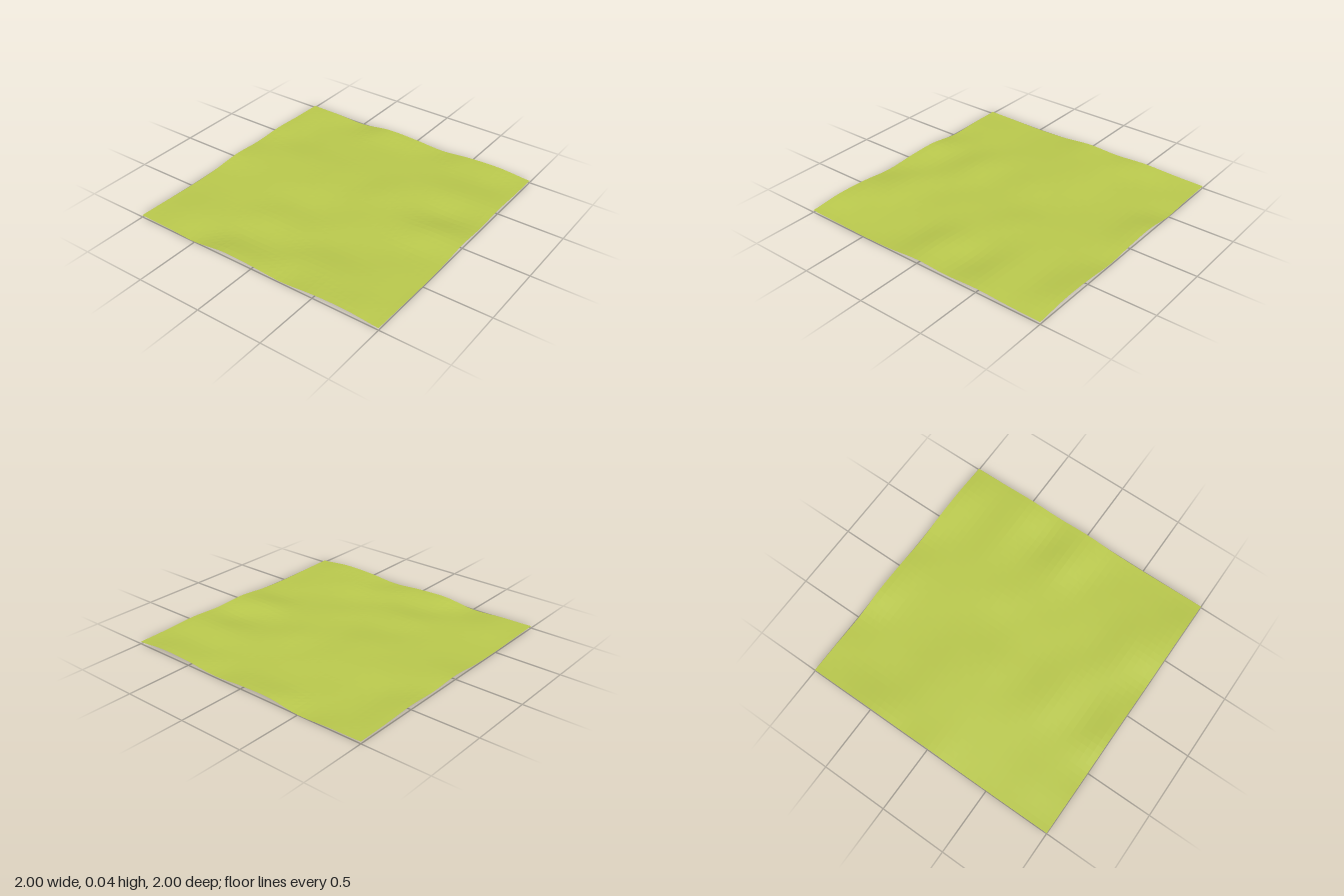
import * as THREE from 'three';

const SIZE = 2, SEGMENTS = 40, HEIGHT = 0.037;

// Coarse tileable relief: rows run from back to front, columns along x
const RELIEF = [
  [4, 3, 1, 7, 6, 3, 7, 8],
  [5, 2, 2, 3, 4, 4, 4, 5],
  [7, 3, 3, 3, 4, 5, 6, 7],
  [5, 6, 6, 5, 4, 6, 4, 2],
  [7, 6, 6, 6, 4, 4, 5, 8],
  [3, 4, 5, 4, 3, 4, 3, 2],
  [2, 3, 4, 6, 5, 3, 3, 3],
  [3, 4, 3, 2, 3, 6, 7, 5],
];

// Smooth curve through evenly spaced values that wraps round
function wrapCurve(at, t) {
  const i = Math.floor(t), f = t - i;
  const [a, b, c, d] = [-1, 0, 1, 2].map((k) => at((i + k + 8) % 8));
  return b + 0.5 * f * (c - a + f * (2 * a - 5 * b + 4 * c - d + f * (3 * (b - c) + d - a)));
}

function reliefAt(x, z) {
  const u = (x + 1) * 4, v = (z + 1) * 4;
  return wrapCurve((row) => wrapCurve((col) => RELIEF[row][col], u), v);
}

export function createModel() {
  const group = new THREE.Group();
  group.name = 'terrainTile';

  // Gently rolling ground sheet
  const geometry = new THREE.PlaneGeometry(SIZE, SIZE, SEGMENTS, SEGMENTS).rotateX(-Math.PI / 2);
  const pos = geometry.attributes.position;
  for (let i = 0; i < pos.count; i++) pos.setY(i, reliefAt(pos.getX(i), pos.getZ(i)));

  // Fit the relief to its height, standing on the ground
  geometry.computeBoundingBox();
  const { min, max } = geometry.boundingBox;
  const scale = HEIGHT / (max.y - min.y);
  geometry.translate(0, -min.y, 0).scale(1, scale, 1);
  geometry.computeVertexNormals();

  const material = new THREE.MeshStandardMaterial({
    color: 0xbccb4e, flatShading: true, side: THREE.DoubleSide,
  });
  const ground = new THREE.Mesh(geometry, material);
  ground.name = 'ground';
  group.add(ground);
  return group;
}
